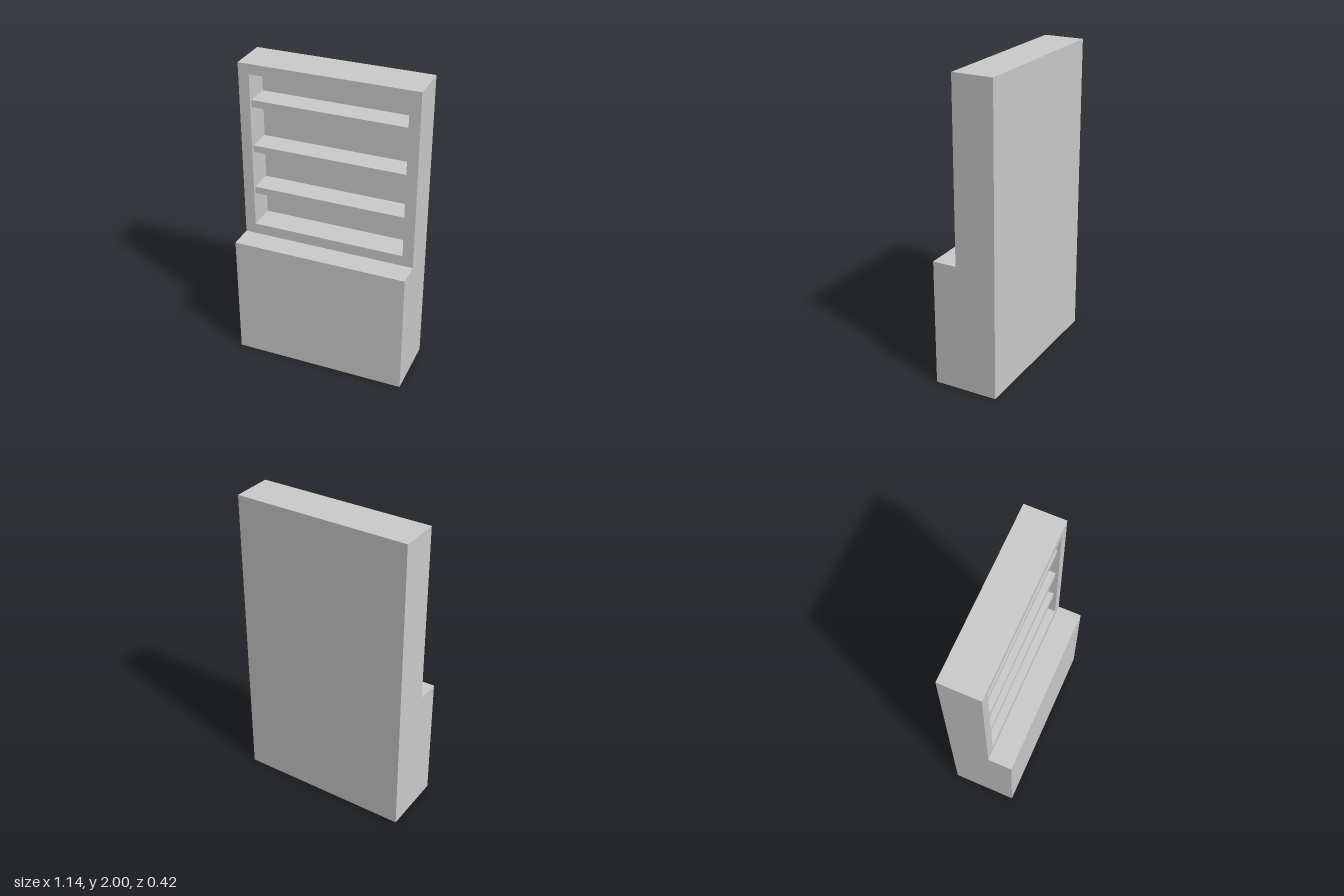
import * as THREE from 'three';

const material = new THREE.MeshStandardMaterial({ color: 0xcccccc });

const HALF_W = 0.57, HEIGHT = 2, BASE_H = 0.83;
const BACK_Z = -0.21, BASE_Z = 0.21, UPPER_Z = 0.053;
const RECESS_Z = UPPER_Z - 0.177, SHELF_Z = UPPER_Z - 0.02;
const OPEN_HALF_W = 0.5, OPEN_BOTTOM = 0.9, OPEN_TOP = 1.935;

// Box given by its half width and its y and z limits
function box(name, halfW, y0, y1, z0, z1) {
  const mesh = new THREE.Mesh(new THREE.BoxGeometry(halfW * 2, y1 - y0, z1 - z0), material);
  mesh.position.set(0, (y0 + y1) / 2, (z0 + z1) / 2);
  mesh.name = name;
  return mesh;
}

function rectangle(path, halfW, y0, y1) {
  path.moveTo(-halfW, y0);
  path.lineTo(halfW, y0);
  path.lineTo(halfW, y1);
  path.lineTo(-halfW, y1);
  path.closePath();
  return path;
}

export function createModel() {
  const group = new THREE.Group();
  group.name = 'bookcase';

  // Deep lower cabinet and the panel closing the back of the shelf unit
  group.add(box('baseCabinet', HALF_W, 0, BASE_H, BACK_Z, BASE_Z));
  group.add(box('backPanel', HALF_W, BASE_H, HEIGHT, BACK_Z, RECESS_Z));

  // Upper frame around the open recess
  const outline = rectangle(new THREE.Shape(), HALF_W, BASE_H, HEIGHT);
  outline.holes.push(rectangle(new THREE.Path(), OPEN_HALF_W, OPEN_BOTTOM, OPEN_TOP));
  const frame = new THREE.Mesh(
    new THREE.ExtrudeGeometry(outline, { depth: UPPER_Z - RECESS_Z, bevelEnabled: false }),
    material
  );
  frame.position.z = RECESS_Z;
  frame.name = 'upperFrame';
  group.add(frame);

  // Shelves, set slightly back from the frame
  [1.14, 1.433, 1.738].forEach((y, i) => {
    group.add(box(`shelf${i + 1}`, OPEN_HALF_W, y - 0.023, y + 0.023, RECESS_Z, SHELF_Z));
  });

  return group;
}
